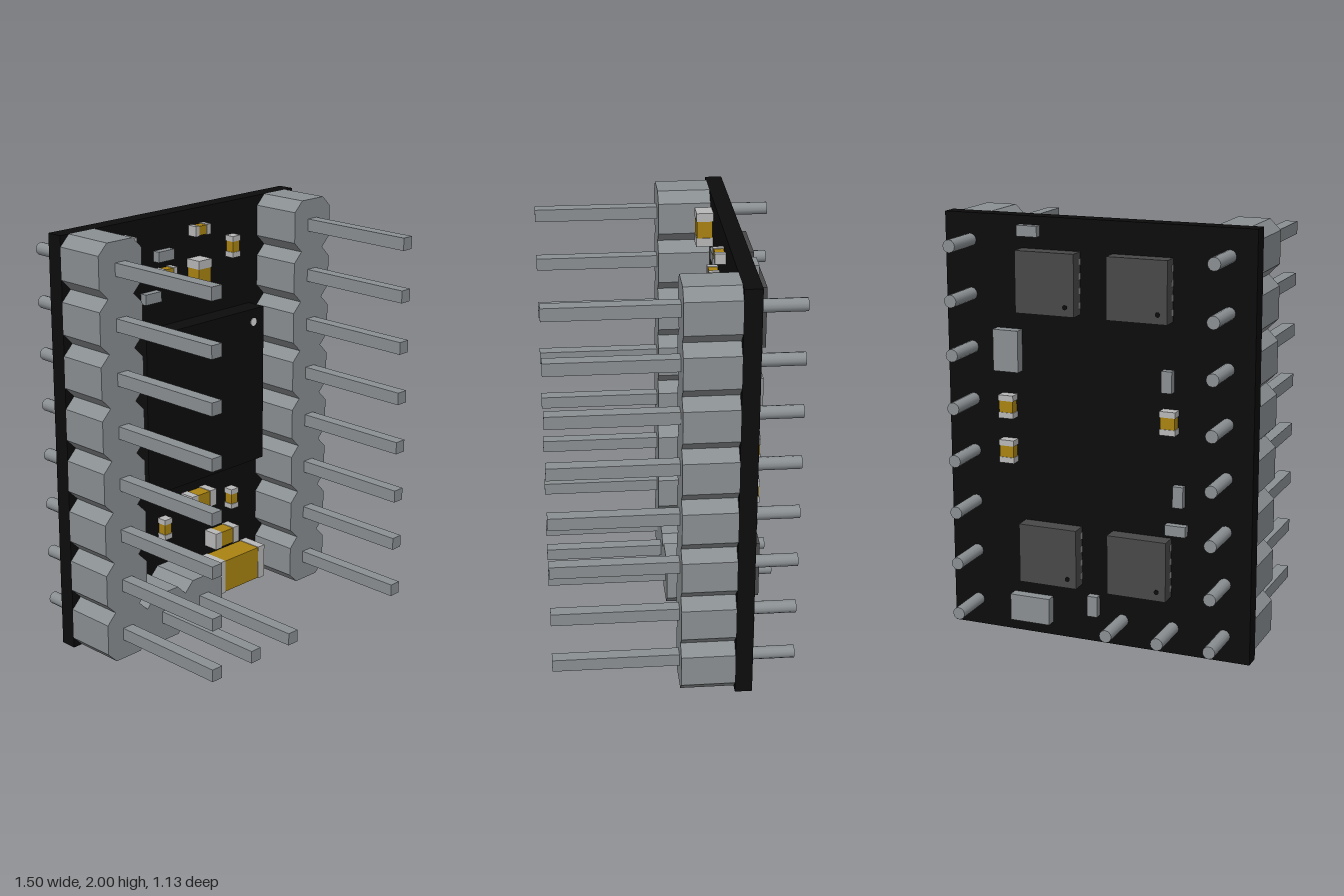
import * as THREE from 'three';

const mat = (name, color) => Object.assign(new THREE.MeshStandardMaterial({ color }), { name });

export function createModel() {
  const black = mat('board black', 0x0c0c0c);
  const grey = mat('header grey', 0x8a8f92);
  const gold = mat('ceramic gold', 0xa98312);
  const silver = mat('terminal silver', 0xb8b8b8);
  const charcoal = mat('chip charcoal', 0x484848);
  const white = mat('marker white', 0xd8d8d8);

  const model = new THREE.Group();
  model.name = 'circuitModule';
  const FRONT = -0.275, BACK = -0.355;

  const add = (parent, name, geometry, material, x, y, z) => {
    const mesh = new THREE.Mesh(geometry, material);
    mesh.name = name;
    mesh.position.set(x, y, z);
    parent.add(mesh);
    return mesh;
  };
  const box = (parent, name, material, w, h, d, x, y, z) =>
    add(parent, name, new THREE.BoxGeometry(w, h, d), material, x, y, z);

  // Board and main chip with its corner marker
  box(model, 'board', black, 1.5, 2, FRONT - BACK, 0, 1, (FRONT + BACK) / 2);
  box(model, 'mainChip', black, 0.785, 0.79, 0.1, 0.052, 1.075, FRONT + 0.05);
  const dot = new THREE.CylinderGeometry(0.02, 0.02, 0.004, 20).rotateX(Math.PI / 2);
  add(model, 'mainChipMarker', dot, white, 0.372, 1.405, FRONT + 0.101);

  // Header block: a square with chamfered corners
  const a = 0.125, b = 0.075;
  const outline = new THREE.Shape(
    [[a, -b], [a, b], [b, a], [-b, a], [-a, b], [-a, -b], [-b, -a], [b, -a]]
      .map(([x, y]) => new THREE.Vector2(x, y)));
  const blockGeo = new THREE.ExtrudeGeometry(outline, { depth: 0.25, bevelEnabled: false });
  const pinGeo = new THREE.BoxGeometry(0.06, 0.06, 0.865);
  const tailGeo = new THREE.CylinderGeometry(0.03, 0.03, 0.265, 12).rotateX(Math.PI / 2);
  const header = (x, y) => {
    const g = new THREE.Group();
    g.name = 'headerPin';
    add(g, 'headerBlock', blockGeo, grey, x, y, FRONT);
    add(g, 'pin', pinGeo, grey, x, y, 0.1325);
    add(g, 'pinTail', tailGeo, grey, x, y, -0.4325);
    model.add(g);
  };
  for (let i = 0; i < 8; i++) for (const x of [-0.625, 0.625]) header(x, 0.125 + i * 0.25);
  for (const x of [-0.375, -0.125]) header(x, 0.125);

  // Capacitor: gold body between two slightly larger silver ends
  const capacitor = (x, y, w, h, d, side) => {
    const g = new THREE.Group();
    g.name = 'capacitor';
    g.position.set(x, y, side > 0 ? FRONT + d / 2 : BACK - d / 2);
    const tall = h > w, length = Math.max(w, h), width = Math.min(w, h);
    const end = length > 0.3 ? 0.045 : length * 0.25;
    if (tall) g.rotation.z = Math.PI / 2;
    box(g, 'capacitorBody', gold, length - 2 * end, width - 0.006, d - 0.006, 0, 0, 0);
    for (const s of [-1, 1])
      box(g, 'capacitorEnd', silver, end, width, d, s * (length - end) / 2, 0, 0);
    model.add(g);
  };
  [
    [-0.415, 1.86, 0.09, 0.165, 0.08], [0.08, 1.9, 0.1, 0.05, 0.05],
    [0.305, 1.785, 0.053, 0.105, 0.05], [-0.14, 1.728, 0.1, 0.053, 0.05],
    [0.063, 1.683, 0.085, 0.165, 0.08], [0.05, 0.545, 0.165, 0.085, 0.08],
    [-0.44, 0.385, 0.085, 0.165, 0.08], [-0.167, 0.45, 0.05, 0.105, 0.05],
    [0.297, 0.48, 0.05, 0.105, 0.05], [0.213, 0.298, 0.165, 0.085, 0.08],
    [0.265, 0.12, 0.33, 0.175, 0.132],
  ].forEach(c => capacitor(...c, 1));
  [[0.437, 1.115], [0.437, 0.9], [-0.36, 1.115]]
    .forEach(([x, y]) => capacitor(x, y, 0.075, 0.11, 0.05, -1));

  // Resistors on both faces
  const resistor = (x, y, w, h, d, side) =>
    box(model, 'resistor', grey, w, h, d, x, y, side > 0 ? FRONT + d / 2 : BACK - d / 2);
  [[-0.145, 1.813, 0.1, 0.05], [-0.23, 1.625, 0.1, 0.05], [-0.458, 1.467, 0.045, 0.1]]
    .forEach(r => resistor(...r, 0.035, 1));
  [
    [0.325, 1.935, 0.1, 0.05, 0.035], [0.433, 1.38, 0.125, 0.195, 0.05],
    [-0.35, 1.3, 0.05, 0.1, 0.035], [-0.405, 0.77, 0.05, 0.1, 0.03],
    [-0.395, 0.61, 0.1, 0.05, 0.035], [0.33, 0.13, 0.2, 0.13, 0.05],
    [0.015, 0.185, 0.05, 0.1, 0.035],
  ].forEach(r => resistor(...r, -1));

  // Four driver chips on the back, with side leads and a corner mark
  for (const x of [-0.222, 0.222]) for (const y of [0.42, 1.71]) {
    const g = new THREE.Group();
    g.name = 'driverChip';
    g.position.set(x, y, BACK);
    box(g, 'chipBody', charcoal, 0.288, 0.285, 0.075, 0, 0, -0.0375);
    for (const s of [-1, 1]) for (let i = 0; i < 4; i++)
      box(g, 'chipLead', silver, 0.004, 0.03, 0.015, s * 0.145, (i - 1.5) * 0.066, -0.012);
    add(g, 'chipMark', new THREE.CylinderGeometry(0.012, 0.012, 0.003, 12).rotateX(Math.PI / 2),
      black, -0.1, -0.1, -0.0755);
    model.add(g);
  }
  return model;
}
